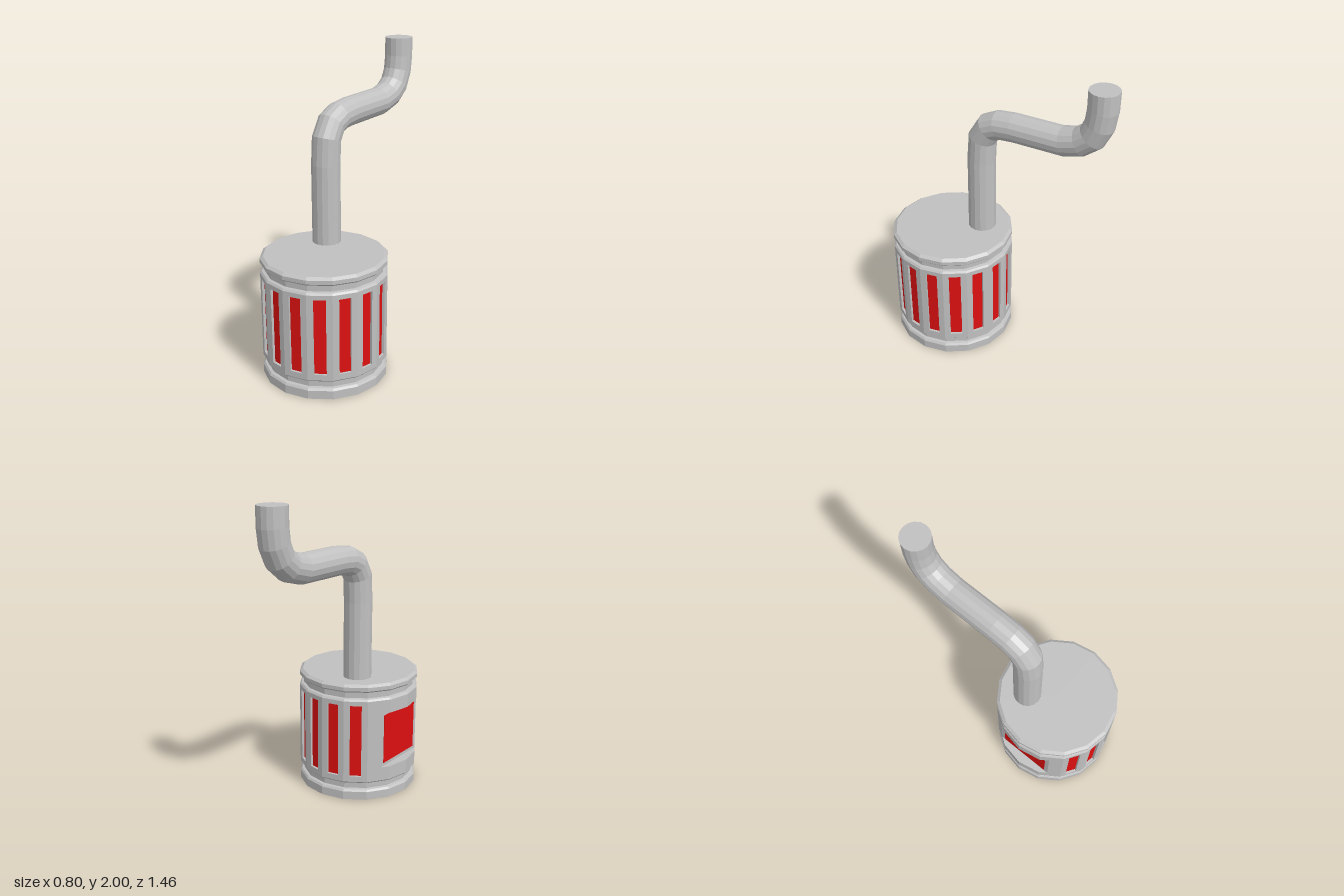
import * as THREE from 'three';

const SIDES = 16, R = 0.4, STEP = (Math.PI * 2) / SIDES;
const APOTHEM = R * Math.cos(STEP / 2), FACET = 2 * R * Math.sin(STEP / 2);

export function createModel() {
  const metal = new THREE.MeshStandardMaterial({ color: 0xc0c0c0 });
  metal.name = 'grey metal';
  const red = new THREE.MeshStandardMaterial({ color: 0xdd1010 });
  red.name = 'red filter';

  const model = new THREE.Group();
  const drum = new THREE.Group();
  drum.name = 'drum';
  drum.position.z = 0.33;
  model.add(drum);

  // Mesh with one normal per face
  function add(parent, name, geometry, material) {
    const flat = geometry.index ? geometry.toNonIndexed() : geometry;
    flat.computeVertexNormals();
    const mesh = new THREE.Mesh(flat, material);
    mesh.name = name;
    parent.add(mesh);
    return mesh;
  }
  const lathe = (points) =>
    new THREE.LatheGeometry(points.map(([r, y]) => new THREE.Vector2(r, y)), SIDES);
  const polygon = (points) => new THREE.Shape(points.map(([x, y]) => new THREE.Vector2(x, y)));

  // Grooved base and lid
  add(drum, 'base', lathe([[0, 0], [R, 0], [R, 0.055], [0.39, 0.068], [0.372, 0.072],
    [0.372, 0.113], [0.39, 0.117], [R, 0.127], [R, 0.14], [0, 0.14]]), metal);
  add(drum, 'lid', lathe([[0, 0.68], [R, 0.68], [R, 0.69], [0.39, 0.702], [0.372, 0.706],
    [0.372, 0.746], [0.39, 0.75], [R, 0.76], [R, 0.785], [0.38, 0.8], [0, 0.8]]), metal);

  // Slotted wall panels, all round except the four facets of the left recess
  const panelShape = polygon([[-FACET / 2, 0.135], [FACET / 2, 0.135], [FACET / 2, 0.685], [-FACET / 2, 0.685]]);
  const s = 0.038;
  panelShape.holes.push(polygon([[-s, 0.165], [-s, 0.66], [s, 0.66], [s, 0.165]]));
  const depth = 0.022;
  for (let k = 0; k < SIDES; k++) {
    const angle = (k + 0.5) * STEP;
    if (Math.sin(angle) < -0.8) continue;
    const facet = new THREE.Group();
    facet.name = 'wallFacet';
    facet.rotation.y = angle;
    drum.add(facet);
    const panel = new THREE.ExtrudeGeometry(panelShape, { depth, bevelEnabled: false });
    panel.translate(0, 0, APOTHEM - depth);
    add(facet, 'slottedPanel', panel, metal);
    const strip = new THREE.BoxGeometry(s * 2 + 0.01, 0.505, 0.008);
    strip.translate(0, 0.4125, APOTHEM - depth + 0.002);
    add(facet, 'filterStrip', strip, red);
  }

  // Solid wall sector with a flat recess cut into its middle
  const c1 = R * Math.cos(STEP), s1 = R * Math.sin(STEP), d = R * Math.SQRT1_2;
  const sector = [[-0.2, -0.2], [-0.2, 0.2], [-d, d], [-c1, s1], [-R, 0], [-c1, -s1], [-d, -d]];
  const cut = [[-0.2, -0.2], [-0.2, 0.2], [-d, d], [-0.335, 0.205], [-0.335, -0.205], [-d, -d]];
  function slab(name, points, y0, y1) {
    const g = new THREE.ExtrudeGeometry(polygon(points), { depth: y1 - y0, bevelEnabled: false });
    g.rotateX(-Math.PI / 2);
    g.translate(0, y0, 0);
    add(drum, name, g, metal);
  }
  slab('recessSill', sector, 0.135, 0.22);
  slab('recessBack', cut, 0.22, 0.6);
  slab('recessHeader', sector, 0.6, 0.685);
  add(drum, 'recessFilter', new THREE.BoxGeometry(0.008, 0.335, 0.35), red)
    .position.set(-0.334, 0.41, 0);

  // Bent pipe: rings swept along a centre line of [z, y] points
  const path = [[0.165, 0.78], [0.165, 1.31], [0.155, 1.47], [0.105, 1.555], [0.035, 1.588],
    [-0.07, 1.6], [-0.4, 1.607], [-0.51, 1.638], [-0.582, 1.695], [-0.622, 1.78],
    [-0.635, 1.88], [-0.635, 2]].map(([z, y]) => new THREE.Vector3(-0.11, y, z));
  const positions = [], index = [], radius = 0.092, last = path.length - 1;
  path.forEach((p, i) => {
    const before = p.clone().sub(path[Math.max(i - 1, 0)]).normalize();
    const after = path[Math.min(i + 1, last)].clone().sub(p).normalize();
    const t = before.add(after).normalize();
    for (let j = 0; j < SIDES; j++) {
      const u = radius * Math.cos(j * STEP), v = radius * Math.sin(j * STEP);
      positions.push(p.x + u, p.y + v * t.z, p.z - v * t.y);
      if (i === last) continue;
      const a = i * SIDES + j, b = i * SIDES + ((j + 1) % SIDES);
      index.push(a, b, b + SIDES, a, b + SIDES, a + SIDES);
    }
  });
  // Pipe end cap
  for (let j = 1; j < SIDES - 1; j++) {
    const o = last * SIDES;
    index.push(o, o + j, o + j + 1);
  }
  const pipe = new THREE.BufferGeometry();
  pipe.setAttribute('position', new THREE.Float32BufferAttribute(positions, 3));
  pipe.setIndex(index);
  add(model, 'pipe', pipe, metal);

  return model;
}
